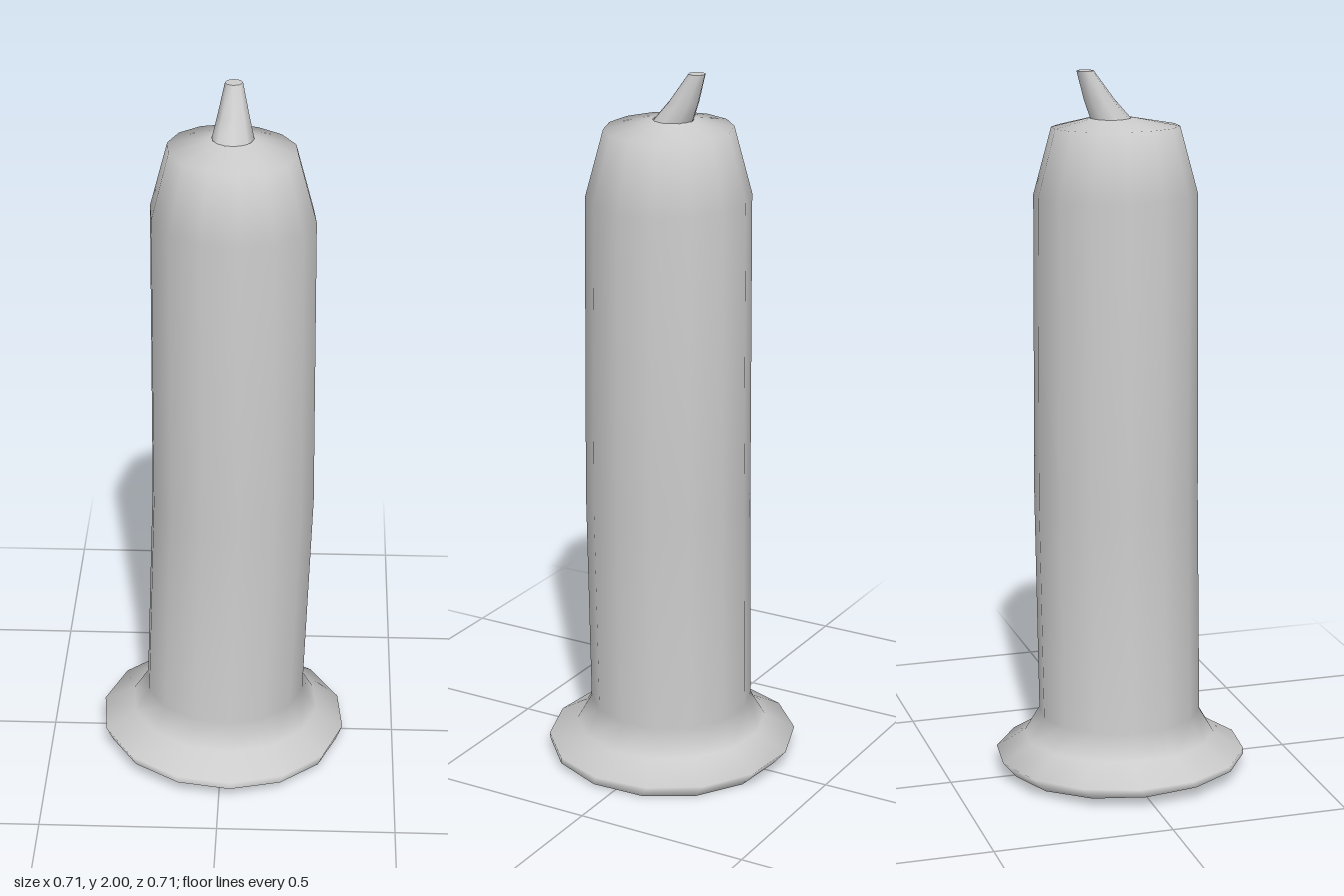
import * as THREE from 'three';

// Lofts a smooth skin through rings given as [y, centreX, centreZ, radius, slopeX, slopeZ].
// Optional caps close the first or last ring with their own sharp edge.
function loft(name, rings, sides, phase, { capStart = false, capEnd = false } = {}) {
  const positions = [];
  const index = [];
  const addRing = ([y, cx, cz, r, sx = 0, sz = 0]) => {
    const start = positions.length / 3;
    for (let i = 0; i < sides; i++) {
      const a = phase + (i / sides) * Math.PI * 2;
      const dx = r * Math.cos(a);
      const dz = r * Math.sin(a);
      positions.push(cx + dx, y + sx * dx + sz * dz, cz + dz);
    }
    return start;
  };
  const starts = rings.map(addRing);
  for (let k = 0; k + 1 < starts.length; k++) {
    for (let i = 0; i < sides; i++) {
      const j = (i + 1) % sides;
      const a = starts[k] + i, b = starts[k] + j;
      const c = starts[k + 1] + i, d = starts[k + 1] + j;
      index.push(a, c, b, b, c, d);
    }
  }
  const addCap = (ring, up) => {
    const s = addRing(ring);
    for (let i = 1; i + 1 < sides; i++) {
      if (up) index.push(s, s + i + 1, s + i);
      else index.push(s, s + i, s + i + 1);
    }
  };
  if (capStart) addCap(rings[0], false);
  if (capEnd) addCap(rings[rings.length - 1], true);

  const geometry = new THREE.BufferGeometry();
  geometry.setAttribute('position', new THREE.Float32BufferAttribute(positions, 3));
  geometry.setIndex(index);
  geometry.computeVertexNormals();
  const material = new THREE.MeshStandardMaterial({ color: 0xcccccc, side: THREE.DoubleSide });
  const mesh = new THREE.Mesh(geometry, material);
  mesh.name = name;
  return mesh;
}

export function createModel() {
  const group = new THREE.Group();
  group.name = 'candle';

  // Wax body: slanted underside, flared foot, slightly bent shaft, tapered shoulder
  group.add(loft('waxBody', [
    [0.024, 0, 0.02, 0.337, -0.04, 0.04],
    [0.056, 0, 0, 0.356, -0.03, 0],
    [0.105, 0.005, 0, 0.272, -0.03, 0],
    [0.175, 0.005, 0, 0.23, -0.02, 0],
    [0.8, 0.027, -0.003, 0.231],
    [1.66, 0.026, -0.004, 0.226, -0.04, 0],
    [1.846, 0.025, -0.004, 0.176, -0.04, 0],
    [1.87, 0.025, -0.018, 0.056],
  ], 14, 0.13, { capStart: true }));

  // Wick leaning towards the back
  group.add(loft('wick', [
    [1.868, 0.025, -0.018, 0.057],
    [1.92, 0.025, -0.05, 0.043],
    [2, 0.025, -0.09, 0.024],
  ], 8, 0, { capEnd: true }));

  return group;
}
